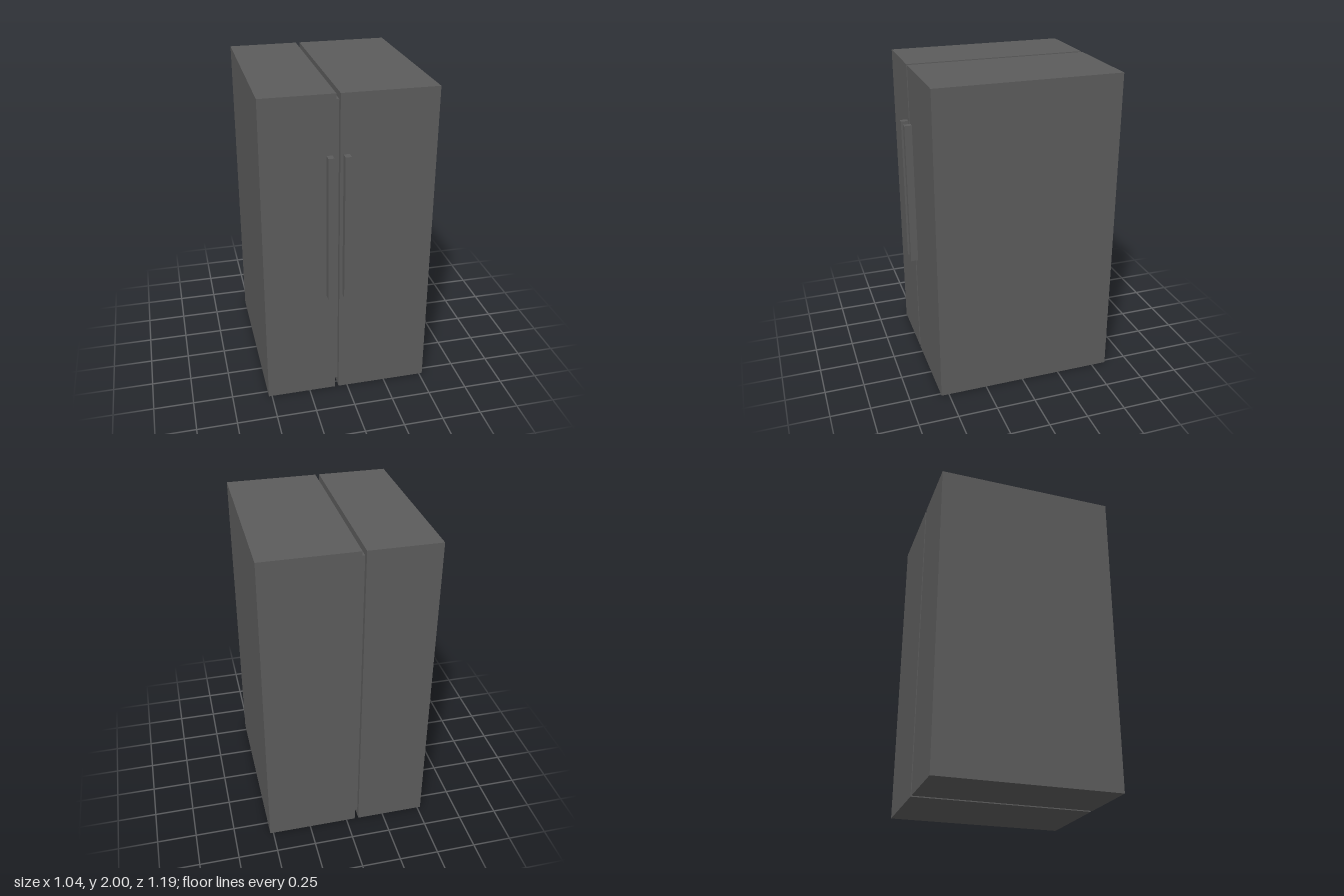
import * as THREE from 'three';

export function createModel() {
  const group = new THREE.Group();
  const darkSteel = new THREE.MeshStandardMaterial({ color: 0x5c5c5c });
  darkSteel.name = 'dark steel';

  // Box given by its low and high limits on each axis
  const addBox = (name, [x0, x1], [y0, y1], [z0, z1]) => {
    const mesh = new THREE.Mesh(new THREE.BoxGeometry(x1 - x0, y1 - y0, z1 - z0), darkSteel);
    mesh.name = name;
    mesh.position.set((x0 + x1) / 2, (y0 + y1) / 2, (z0 + z1) / 2);
    group.add(mesh);
  };

  // Two tall cabinets, one narrower than the other
  const height = [0, 2], depth = [-0.596, 0.549];
  addBox('narrowCabinet', [-0.521, -0.082], height, depth);
  addBox('wideCabinet', [-0.057, 0.521], height, depth);

  // Recessed core that fills the gap between them
  addBox('recessedCore', [-0.082, -0.057], [0.045, 1.957], [-0.563, 0.514]);

  // Vertical bar handles either side of the gap
  const handleHeight = [0.714, 1.64], handleDepth = [0.549, 0.596];
  addBox('narrowDoorHandle', [-0.137, -0.102], handleHeight, handleDepth);
  addBox('wideDoorHandle', [-0.038, -0.002], handleHeight, handleDepth);

  return group;
}
